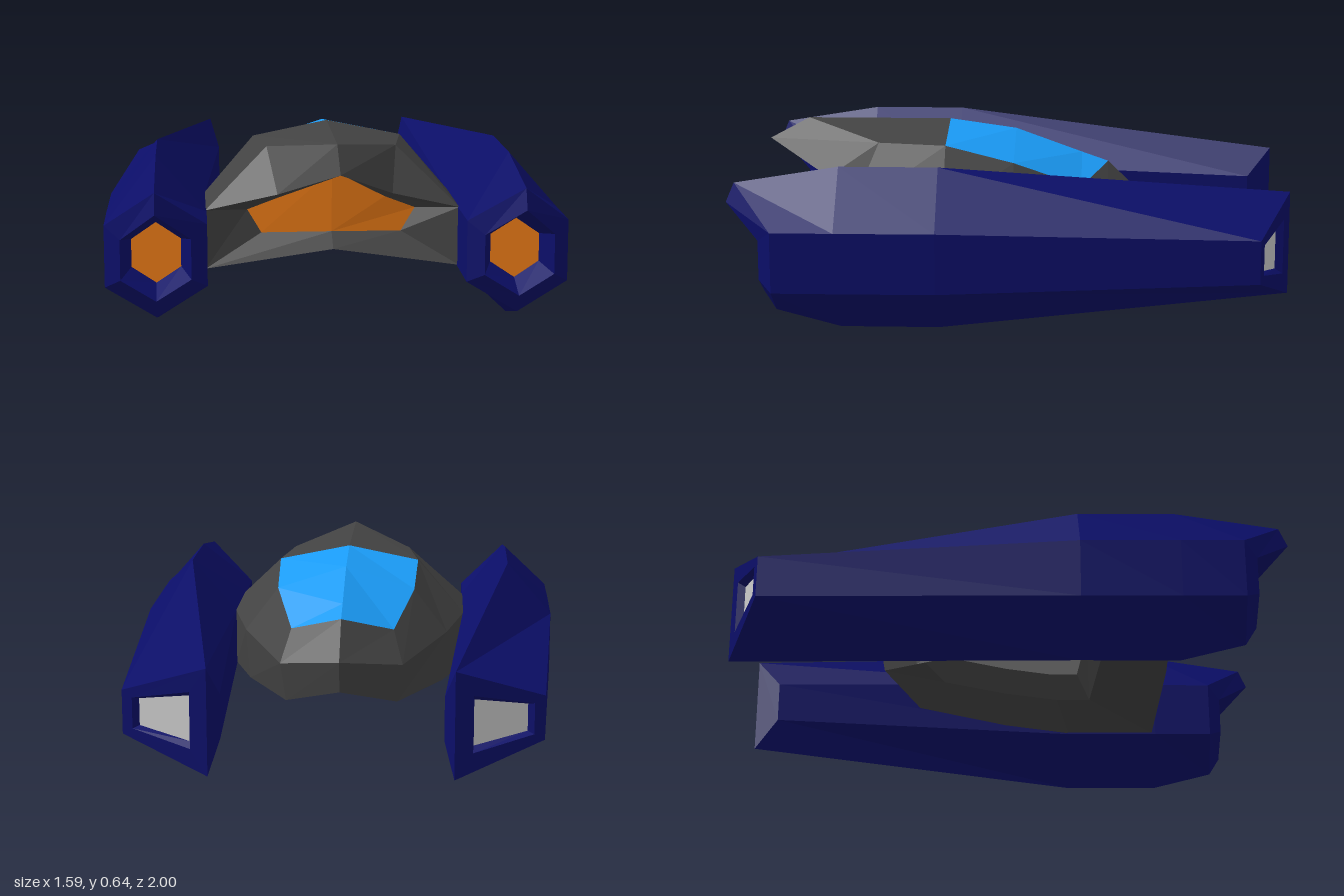
import * as THREE from 'three';

const NAVY = 0x0b0e68, HULL = 0x434343, ORANGE = 0xf58018, BLUE = 0x1a9cf8;

// Flat-shaded mesh from a list of polygons, each split into a fan
function polyMesh(name, color, faces) {
  const pos = [];
  for (const f of faces)
    for (let i = 1; i < f.length - 1; i++) pos.push(...f[0], ...f[i], ...f[i + 1]);
  const g = new THREE.BufferGeometry();
  g.setAttribute('position', new THREE.Float32BufferAttribute(pos, 3));
  g.computeVertexNormals();
  const m = new THREE.Mesh(g, new THREE.MeshStandardMaterial({ color, flatShading: true, side: THREE.DoubleSide }));
  m.name = name;
  return m;
}

// Quads between two rows of points, optionally joined end to start
function strip(a, b, closed = false) {
  const out = [], n = a.length;
  for (let i = 0; i < (closed ? n : n - 1); i++) {
    const j = (i + 1) % n;
    out.push([a[i], a[j], b[j], b[i]]);
  }
  return out;
}

const mirror = faces => faces.map(f => f.map(([x, y, z]) => [-x, y, z]).reverse());
const both = faces => [...faces, ...mirror(faces)];
const mix = (a, b, t) => a.map((v, i) => v + (b[i] - v) * t);

// Six-sided ring: top, outer pair, bottom, inner pair
function hexRing(w, top, up, low, bottom, zTop, zSide, zBottom) {
  const x = 0.62;
  return [[x, top, zTop], [x + w, up, zSide], [x + w, low, zSide],
    [x, bottom, zBottom], [x - w, low, zSide], [x - w, up, zSide]];
}

function nacelle(name, flip) {
  const side = f => (flip ? mirror(f) : f);
  const intake = hexRing(0.085, 0.383, 0.325, 0.227, 0.17, 0.76, 0.76, 0.76);
  const rear = [[0.415, 0.465, -1], [0.72, 0.355, -0.875], [0.72, 0.2, -0.875],
    [0.415, 0.09, -1], [0.38, 0.2, -0.91], [0.38, 0.355, -0.91]];
  const rings = [
    intake,
    hexRing(0.12, 0.455, 0.345, 0.205, 0.13, 1, 0.87, 0.87),
    hexRing(0.175, 0.525, 0.385, 0.17, 0.065, 0.97, 0.82, 0.83),
    hexRing(0.175, 0.585, 0.385, 0.17, 0.005, 0.6, 0.6, 0.6),
    hexRing(0.172, 0.585, 0.385, 0.17, 0.005, 0.25, 0.25, 0.25),
    rear,
  ];
  const shell = [];
  for (let i = 0; i < rings.length - 1; i++) shell.push(...strip(rings[i], rings[i + 1], true));

  // Rear end with a recessed exhaust window
  const [top, outU, outL, bottom, inL, inU] = rear;
  const at = (t, s) => mix(mix(top, outU, t), mix(bottom, outL, t), s);
  const rim = [at(0.2, 0.2), at(0.88, 0.2), at(0.88, 0.8), at(0.2, 0.8)];
  const deep = [at(0.24, 0.25), at(0.84, 0.25), at(0.84, 0.75), at(0.24, 0.75)]
    .map(([x, y, z]) => [x - 0.01, y, z + 0.024]);
  shell.push([top, bottom, inL, inU],
    ...strip([top, outU, outL, bottom], rim, true), ...strip(rim, deep, true));

  const g = new THREE.Group();
  g.name = name;
  g.add(polyMesh('nacelleShell', NAVY, side(shell)),
    polyMesh('intakeGlow', ORANGE, side([[...intake].reverse()])),
    polyMesh('exhaustWindow', 0xcccccc, side([deep])));
  return g;
}

function hull() {
  // Edges of the right-hand half, each running front to back
  const waist = [[0.45, 0.385, 0.585], [0.45, 0.385, 0.25], [0.385, 0.365, 0], [0.225, 0.32, -0.345], [0, 0.36, -0.485]];
  const keel = [[0.45, 0.175, 0.585], [0.45, 0.175, 0.25], [0.37, 0.175, 0], [0.205, 0.178, -0.335], [0, 0.245, -0.465]];
  const crest = [[0.27, 0.595, 0.25], [0.26, 0.53, 0], [0.19, 0.43, -0.25], [0, 0.49, -0.35]];
  const spine = [[0, 0.65, 0.25], [0, 0.615, 0], [0, 0.525, -0.25], [0, 0.49, -0.35]];
  // Hood and front mouth, each running from the centre outward
  const hood = [[0, 0.57, 0.94], [0.2, 0.46, 0.695], [0.45, 0.385, 0.585]];
  const mouthTop = [[0, 0.515, 0.54], [0.19, 0.415, 0.52], [0.3, 0.37, 0.5]];
  const mouthLow = [[0, 0.29, 0.52], [0.25, 0.285, 0.5]];
  const lip = [[0, 0.245, 0.61], keel[0]];
  const nose = [0, 0.65, 0.79], shoulder = [0.23, 0.597, 0.5];

  const upper = [
    [hood[0], hood[1], shoulder, nose],
    [hood[1], hood[2], shoulder],
    [waist[0], waist[1], crest[0], shoulder],
    [shoulder, crest[0], spine[0], nose],
    ...strip(waist.slice(1), crest),
    ...strip(keel, waist),
  ];
  const front = [
    ...strip(mouthTop, hood),
    ...strip(lip, mouthLow),
    [mouthLow[1], keel[0], hood[2], mouthTop[2]],
  ];

  // Hollow underside around a belly panel
  const outer = [lip[0], ...keel];
  const inner = [[0, 0.29, 0.36], [0.31, 0.26, 0.33], [0.31, 0.26, 0.2], [0.25, 0.26, 0], [0.14, 0.26, -0.24], [0, 0.29, -0.32]];
  const panel = inner.map(([x, y, z]) => [x * 0.85, y + 0.09, z * 0.85]);

  const g = new THREE.Group();
  g.name = 'hull';
  g.add(polyMesh('upperHull', HULL, both(upper)),
    polyMesh('frontMouth', HULL, both(front)),
    polyMesh('underside', HULL, both([...strip(inner, outer), ...strip(panel, inner)])),
    polyMesh('bellyPanel', 0x999999, both([panel])),
    polyMesh('canopy', BLUE, both(strip(crest, spine))),
    polyMesh('mouthGlow', ORANGE, both([[mouthLow[0], mouthLow[1], mouthTop[2], mouthTop[1], mouthTop[0]]])));
  return g;
}

export function createModel() {
  const model = new THREE.Group();
  model.name = 'spacecraft';
  model.add(hull(), nacelle('leftNacelle', false), nacelle('rightNacelle', true));
  return model;
}
